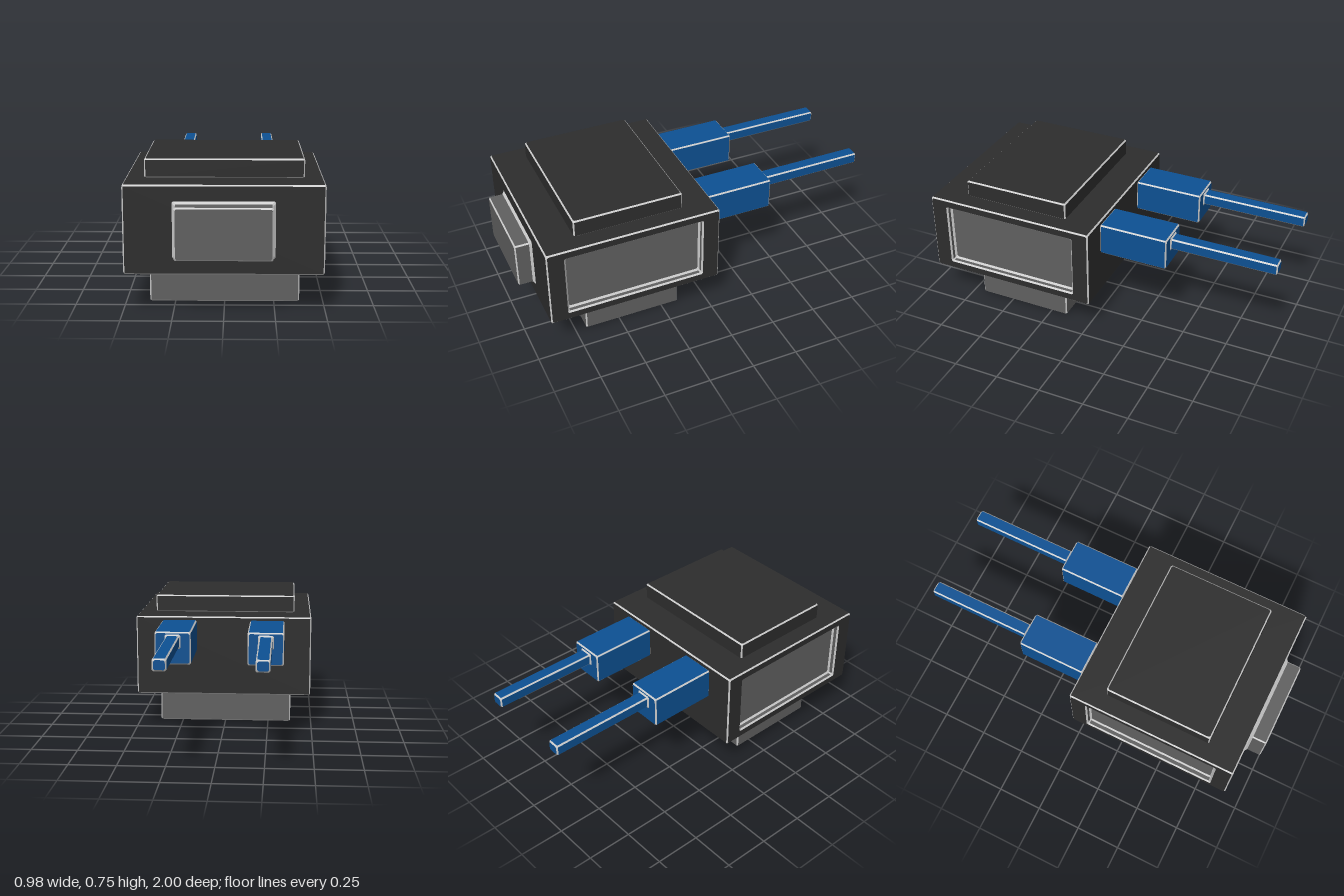
import * as THREE from 'three';

const mat = (name, color) => {
  const m = new THREE.MeshStandardMaterial({ color });
  m.name = name;
  return m;
};

export function createModel() {
  const dark = mat('charcoal', 0x2d2d2d);
  const grey = mat('grey', 0x606060);
  const blue = mat('blue', 0x0d5193);
  const trim = mat('light trim', 0xc8c8c8);
  const model = new THREE.Group();
  const B = 0.007; // chamfer width

  // Rectangle with chamfered corners, counter-clockwise
  const ringPoints = ([w, h, z, c = B]) => [
    [w, -h + c], [w, h - c], [w - c, h], [-w + c, h],
    [-w, h - c], [-w, -h + c], [-w + c, -h], [w - c, -h],
  ].map(([x, y]) => [x, y, z]);

  // Skin through rings [halfWidth, halfHeight, z, chamfer] along z, one material per band;
  // corner facets take the trim colour, and both ends are closed
  function loft(name, rings, bands, capMat) {
    const mats = [...new Set([capMat, trim, ...bands])];
    const faces = mats.map(() => []);
    const put = (m, ...pts) => faces[mats.indexOf(m)].push(...pts.flat());
    const loops = rings.map(ringPoints);
    bands.forEach((band, i) => {
      const a = loops[i], b = loops[i + 1];
      const flat = rings[i][2] === rings[i + 1][2];
      for (let j = 0; j < 8; j++) {
        const k = (j + 1) % 8;
        const m = j % 2 && !flat ? trim : band;
        put(m, a[j], a[k], b[k], a[j], b[k], b[j]);
      }
    });
    const first = loops[0], last = loops[loops.length - 1];
    for (let j = 1; j < 7; j++) {
      put(capMat, first[0], first[j + 1], first[j]);
      put(capMat, last[0], last[j], last[j + 1]);
    }
    const geo = new THREE.BufferGeometry();
    let start = 0;
    faces.forEach((f, i) => {
      geo.addGroup(start, f.length / 3, i);
      start += f.length / 3;
    });
    geo.setAttribute('position', new THREE.Float32BufferAttribute(faces.flat(), 3));
    geo.computeVertexNormals();
    const mesh = new THREE.Mesh(geo, mats);
    mesh.name = name;
    model.add(mesh);
    return mesh;
  }

  // Box with all edges chamfered, from z0 to z1
  const chamferBox = (name, w, h, z0, z1, m) => loft(name,
    [[w - B, h - B, z0], [w, h, z0 + B], [w, h, z1 - B], [w - B, h - B, z1]],
    [trim, m, trim], m);

  // Box growing out of a surface, with a flared foot
  const flaredBox = (name, w, h, z0, z1, f, m) => loft(name,
    [[w + f, h + f, z0], [w, h, z0 + f], [w, h, z1 - B], [w - B, h - B, z1]],
    [trim, m, trim], m);

  // Main body, skinned across its width from one recessed side panel to the other
  const half = [
    [0.365, 0.162, 0.455],          // recess floor
    [0.375, 0.172, 0.463],          // recess inner corner
    [0.375, 0.172, 0.482],          // recess wall
    [0.383, 0.18, 0.49],            // recess mouth
    [0.475 - B, 0.2225 - B, 0.49],  // rim
    [0.475, 0.2225, 0.49 - B],      // outer edge
  ];
  const mirrored = half.map(([w, h, z]) => [w, h, -z]);
  const sideBands = [trim, grey, trim, dark, trim];
  const body = loft('body', [...mirrored, ...half.slice().reverse()],
    [...sideBands, dark, ...sideBands.slice().reverse()], grey);
  body.rotation.y = Math.PI / 2;
  body.position.set(0, 0.4275, 0.435);

  // Lid above and base below
  const lid = chamferBox('lid', 0.397, 0.298, 0.648, 0.745, dark);
  const base = chamferBox('base', 0.38, 0.268, 0, 0.215, grey);
  lid.rotation.x = base.rotation.x = -Math.PI / 2;
  lid.position.z = 0.432;
  base.position.z = 0.422;

  // Raised front panel
  flaredBox('frontPanel', 0.238, 0.13, 0.91, 1, 0.012, grey).position.y = 0.428;

  // Rear connectors with their rods
  for (const [side, s] of [['left', 1], ['right', -1]]) {
    const block = chamferBox(side + 'Connector', 0.096, 0.088, 0.04, 0.42, blue);
    block.position.set(s * 0.245, 0.543, 0);
    const rod = flaredBox(side + 'Rod', 0.035, 0.031, 0.418, 1, 0.009, blue);
    rod.position.set(s * 0.245, 0.579, 0);
    block.rotation.y = rod.rotation.y = Math.PI;
  }
  return model;
}
